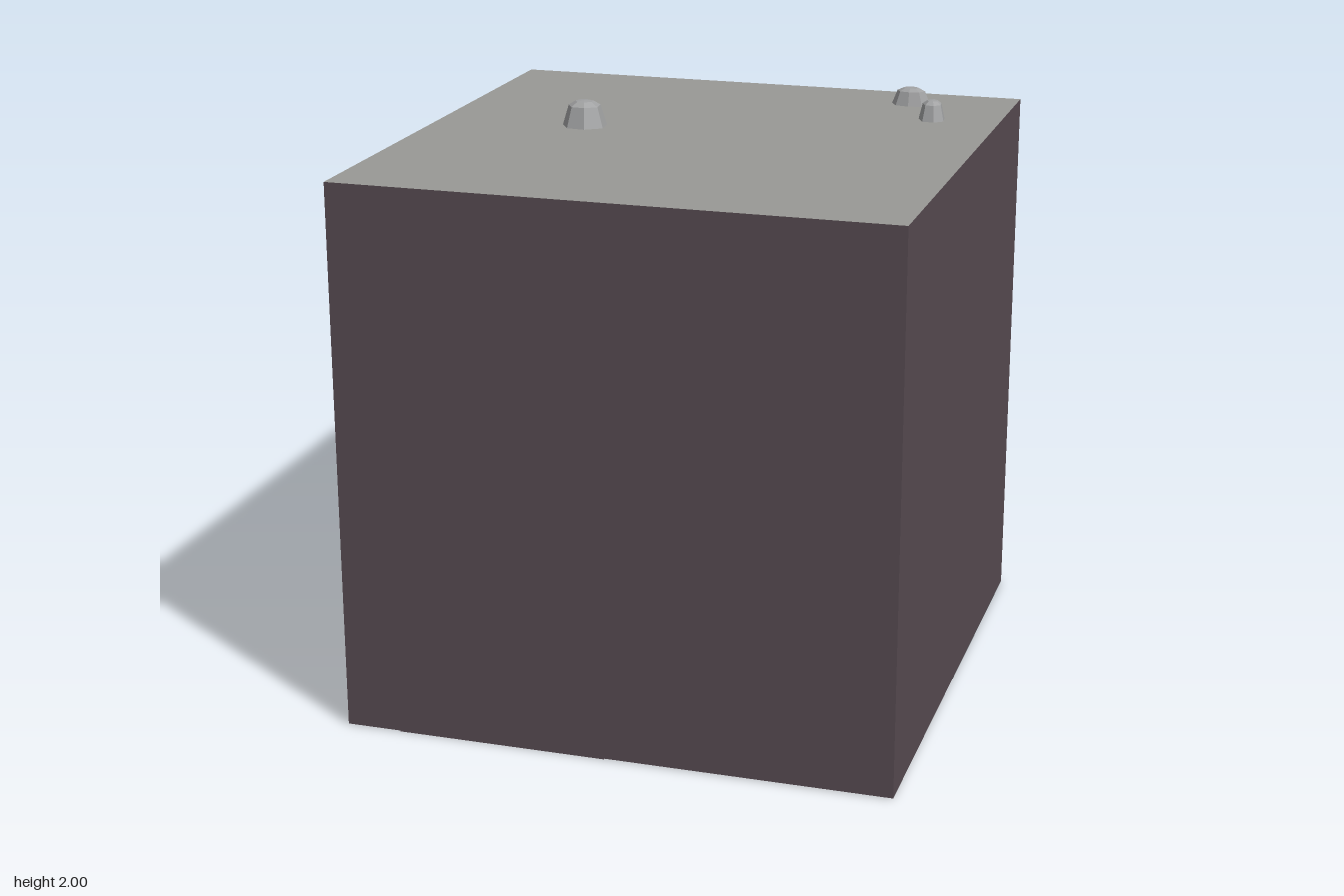
import * as THREE from 'three';

const HALF = 0.955, SIZE = 1.91, PLATE = 0.003;

function material(name, color) {
  const m = new THREE.MeshStandardMaterial({ color });
  m.name = name;
  return m;
}

// Faceted stone: a few-sided dome, made slightly irregular around its axis
function stone(name, mat, x, z, rx, height, rz, turn, sides, phase) {
  const profile = [[1, 0], [0.72, 0.8], [0.4, 0.97], [0, 1]].map(([r, y]) => new THREE.Vector2(r, y));
  const lathe = new THREE.LatheGeometry(profile, sides);
  const p = lathe.attributes.position;
  for (let i = 0; i < p.count; i++) {
    const a = Math.atan2(p.getZ(i), p.getX(i));
    const k = 1 + 0.06 * Math.sin(2 * a + phase) + 0.04 * Math.cos(3 * a - phase);
    p.setX(i, p.getX(i) * k);
    p.setZ(i, p.getZ(i) * k);
  }
  const geo = lathe.toNonIndexed();
  geo.scale(rx, height, rz);
  geo.rotateY(turn);
  geo.computeVertexNormals();
  const mesh = new THREE.Mesh(geo, mat);
  mesh.name = name;
  mesh.position.set(x, SIZE, z);
  return mesh;
}

// Thin underside plate; a runs from +x to -x and b from back to front, both 0..1
function plate(name, mat, a0, a1, b0, b1, r = 0) {
  const x0 = HALF - SIZE * a1, x1 = HALF - SIZE * a0;
  const z0 = -HALF + SIZE * b0, z1 = -HALF + SIZE * b1;
  const s = new THREE.Shape();
  s.moveTo(x0 + r, z0);
  s.lineTo(x1 - r, z0);
  if (r) s.quadraticCurveTo(x1, z0, x1, z0 + r);
  s.lineTo(x1, z1 - r);
  if (r) s.quadraticCurveTo(x1, z1, x1 - r, z1);
  s.lineTo(x0 + r, z1);
  if (r) s.quadraticCurveTo(x0, z1, x0, z1 - r);
  s.lineTo(x0, z0 + r);
  if (r) s.quadraticCurveTo(x0, z0, x0 + r, z0);
  const geo = new THREE.ExtrudeGeometry(s, { depth: PLATE, bevelEnabled: false, curveSegments: 4 });
  geo.rotateX(Math.PI / 2);
  const mesh = new THREE.Mesh(geo, mat);
  mesh.name = name;
  mesh.position.y = PLATE;
  return mesh;
}

export function createModel() {
  const wall = material('dark mauve', 0x574b51);
  const slab = material('warm grey', 0x999995);
  const rock = material('stone grey', 0xa0a1a2);
  const charcoal = material('charcoal', 0x5f6467);
  const purple = material('purple', 0x8f4ec8);
  const teal = material('pale teal', 0x82aa9d);

  const model = new THREE.Group();
  model.name = 'stoneBlock';

  // Main block: mauve walls, grey top and underside
  const box = new THREE.BoxGeometry(SIZE, SIZE - PLATE, SIZE);
  const block = new THREE.Mesh(box, [wall, wall, slab, slab, wall, wall]);
  block.name = 'block';
  block.position.y = (SIZE + PLATE) / 2;
  model.add(block);

  // Loose stones on the top
  model.add(
    stone('largeStone', rock, -0.43, -0.075, 0.078, 0.09, 0.077, 0.3, 7, 0.5),
    stone('wideStone', rock, 0.588, -0.757, 0.067, 0.062, 0.054, 0, 8, 1.2),
    stone('smallStone', rock, 0.715, -0.525, 0.046, 0.07, 0.062, 0.3, 7, 2.1)
  );

  // Patchwork of panels on the underside
  model.add(
    plate('cornerPanel', charcoal, 0, 0.128, 0, 0.495),
    plate('edgePanel', charcoal, 0.516, 0.898, 0, 0.1),
    plate('roundedPanel', charcoal, 0.128, 0.516, 0.493, 0.868, 0.03),
    plate('purplePanel', purple, 0.128, 0.516, 0, 0.493),
    plate('tealPanel', teal, 0.516, 0.898, 0.1, 0.497),
    plate('mauvePanel', wall, 0.516, 0.9, 0.497, 1)
  );
  return model;
}
